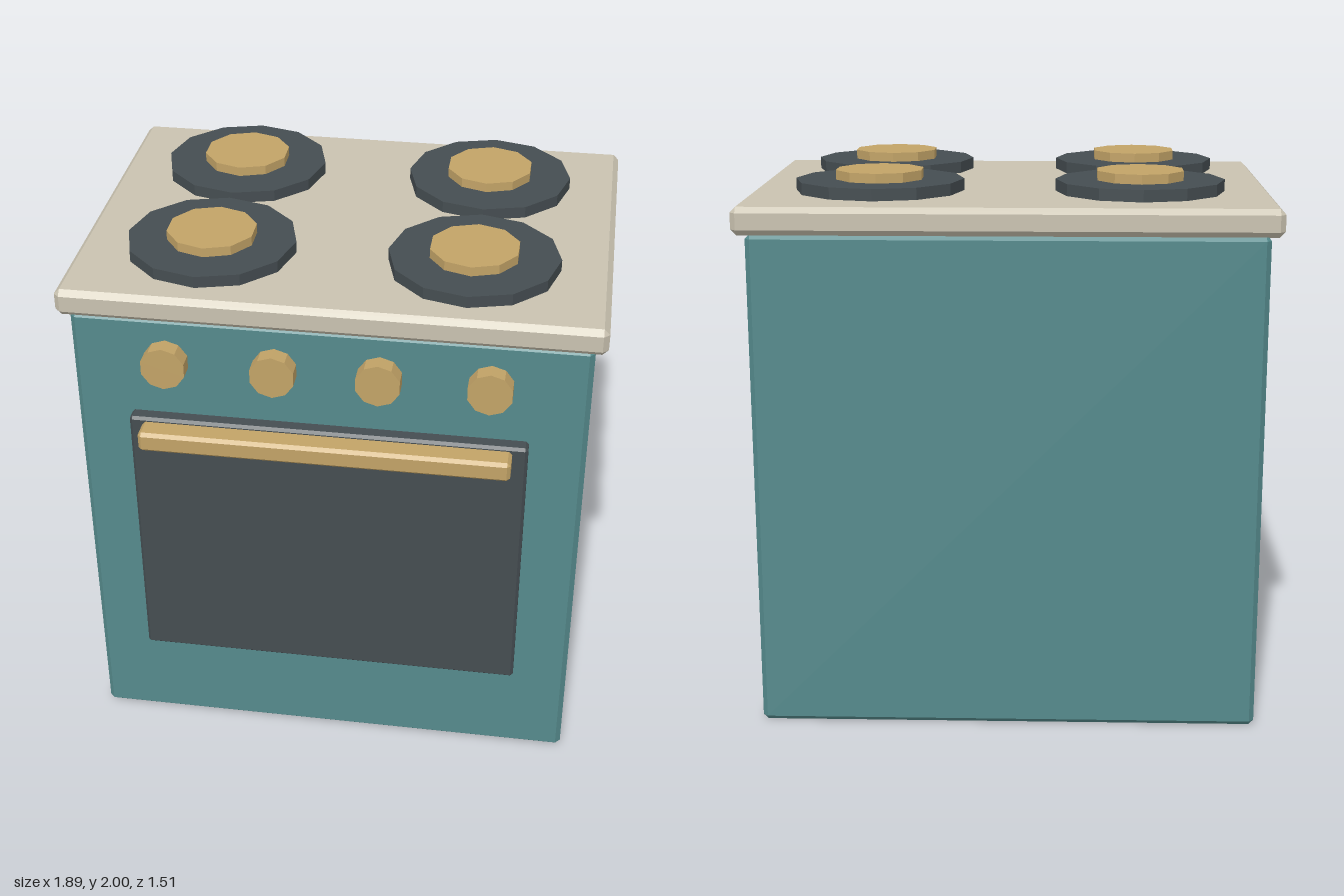
import * as THREE from 'three';
import { ConvexGeometry } from 'three/addons/geometries/ConvexGeometry.js';

const material = (name, color) => {
  const m = new THREE.MeshStandardMaterial({ color });
  m.name = name;
  return m;
};

// Box between two corners with all edges chamfered by c
function chamferBox(min, max, c) {
  const mid = min.map((v, i) => (v + max[i]) / 2);
  const half = min.map((v, i) => (max[i] - v) / 2);
  const points = [];
  for (const sx of [-1, 1]) for (const sy of [-1, 1]) for (const sz of [-1, 1]) {
    const s = [sx, sy, sz];
    for (let axis = 0; axis < 3; axis++) {
      points.push(new THREE.Vector3(
        ...mid.map((m, i) => m + s[i] * (half[i] - (i === axis ? 0 : c)))));
    }
  }
  return new ConvexGeometry(points);
}

// Faceted disc with flat sides
const disc = (radius, height, sides) =>
  new THREE.CylinderGeometry(radius, radius, height, sides).toNonIndexed();

export function createModel() {
  const model = new THREE.Group();
  model.name = 'stove';
  const teal = material('teal enamel', 0x558a8c);
  const slate = material('dark slate', 0x454d51);
  const brass = material('brass', 0xc2a367);
  const cream = material('cream', 0xc9c2b0);

  const add = (name, geometry, mat, x = 0, y = 0, z = 0) => {
    geometry.computeVertexNormals();
    const mesh = new THREE.Mesh(geometry, mat);
    mesh.name = name;
    mesh.position.set(x, y, z);
    model.add(mesh);
    return mesh;
  };

  // Cabinet, worktop, oven door and its handle
  add('body', chamferBox([-0.905, 0, -0.715], [0.905, 1.813, 0.6], 0.018), teal);
  add('worktop', chamferBox([-0.946, 1.813, -0.755], [0.946, 1.911, 0.633], 0.02), cream);
  add('ovenDoor', chamferBox([-0.705, 0.387, 0.595], [0.705, 1.435, 0.657], 0.01), slate);
  add('doorHandle', chamferBox([-0.652, 1.36, 0.665], [0.652, 1.435, 0.757], 0.012), brass);

  // Four burners with raised caps
  for (const x of [-0.465, 0.465]) for (const z of [-0.385, 0.26]) {
    add('burnerPlate', disc(0.302, 0.042, 12), slate, x, 1.945, z);
    add('burnerCap', disc(0.16, 0.038, 10), brass, x, 1.981, z);
  }

  // Row of control knobs
  for (const x of [-0.565, -0.183, 0.183, 0.565]) {
    add('knob', disc(0.08, 0.062, 10), brass, x, 1.66, 0.649).rotation.x = Math.PI / 2;
  }
  return model;
}
